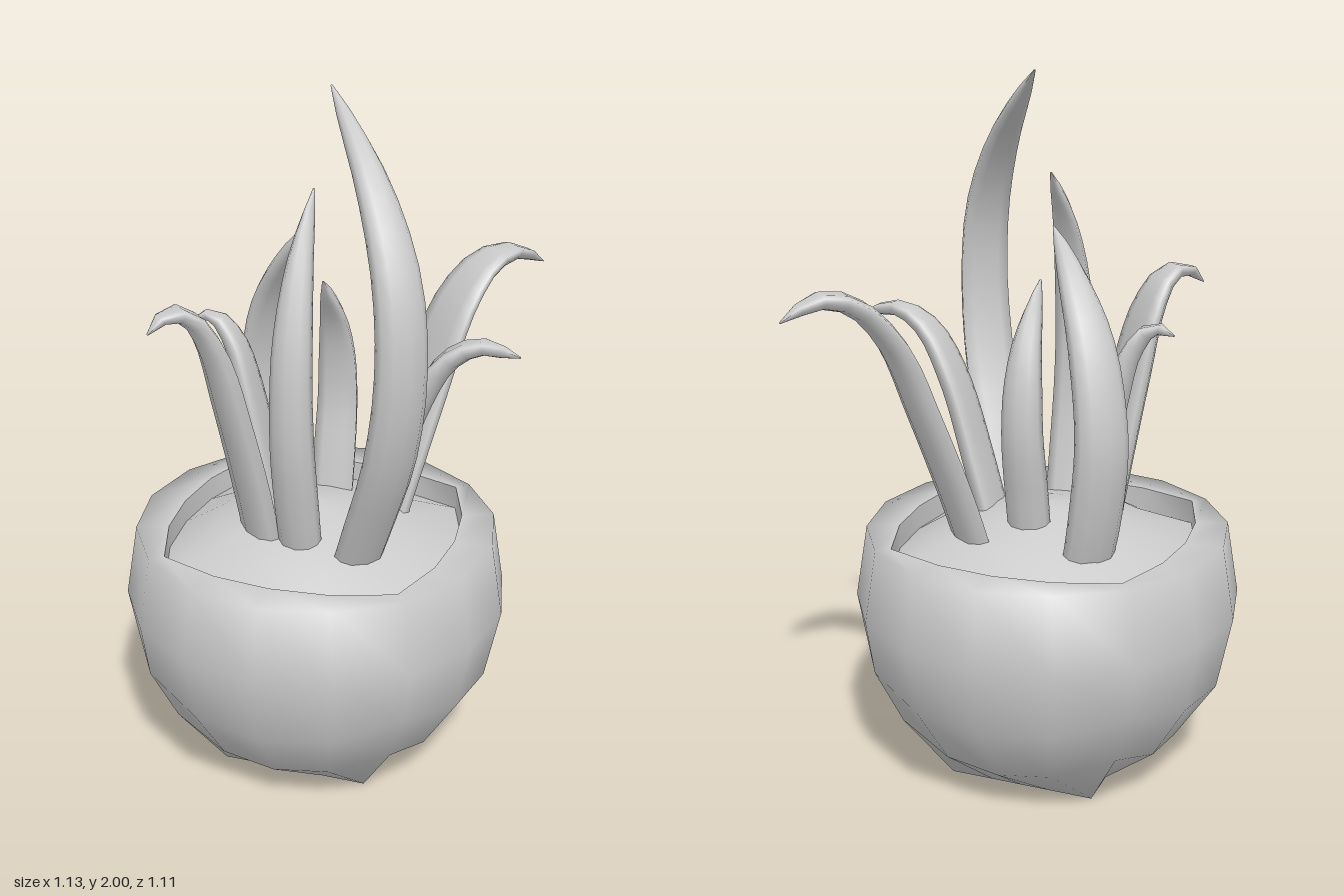
import * as THREE from 'three';

const material = new THREE.MeshStandardMaterial({ color: 0xcccccc, side: THREE.DoubleSide });

// Skin a list of closed rings (equal point counts) with smooth quads.
function loft(name, rings) {
  const n = rings[0].length, index = [];
  for (let i = 0; i < rings.length - 1; i++) {
    for (let j = 0; j < n; j++) {
      const a = i * n + j, b = i * n + (j + 1) % n;
      index.push(a, b, a + n, b, b + n, a + n);
    }
  }
  const geometry = new THREE.BufferGeometry().setFromPoints(rings.flat());
  geometry.setIndex(index);
  geometry.computeVertexNormals();
  const mesh = new THREE.Mesh(geometry, material);
  mesh.name = name;
  return mesh;
}

// Ring of 16 points; rule(s) gives [radius, y], where s runs 1 to sqrt(2)
// from the middle of each side of a square to its corners.
function ring(rule) {
  return Array.from({ length: 16 }, (_, i) => {
    const a = i * Math.PI / 8;
    const s = 1 / Math.max(Math.abs(Math.cos(a)), Math.abs(Math.sin(a)));
    const [r, y] = rule(s);
    return new THREE.Vector3(r * Math.cos(a), y, -r * Math.sin(a));
  });
}

const round = (r, y) => ring(() => [r, y]);
// Row of a rounded cube of radius 0.555 at height ratio k
const sphereRow = k => ring(s => {
  const f = 0.555 / Math.hypot(s, k);
  return [s * f, 0.52 + k * f];
});
// Soft square outline used inside the rim
const softSquare = (r, y) => ring(s => [r * Math.SQRT2 * s / Math.hypot(s, 1), y]);

// Blade cross-section: x across the leaf, y away from the plant's centre
const section = [[0, 1], [0.6, 0.75], [0.92, 0.2], [1, -0.4], [0.55, -0.6],
  [0, -0.55], [-0.55, -0.6], [-1, -0.4], [-0.92, 0.2], [-0.6, 0.75]];

// A tapered leaf along a path of [radius, y] in the vertical plane at an angle.
function leaf(name, degrees, width, path) {
  const a = THREE.MathUtils.degToRad(degrees);
  const out = new THREE.Vector3(Math.cos(a), 0, Math.sin(a));
  const curve = new THREE.CatmullRomCurve3(
    path.map(([r, y]) => out.clone().multiplyScalar(r).setY(y)));
  const side = new THREE.Vector3(0, 1, 0).cross(out);
  const rings = [], rows = 18;
  for (let i = 0; i <= rows; i++) {
    const t = i / rows;
    const p = curve.getPointAt(t), tangent = curve.getTangentAt(t);
    const normal = side.clone().cross(tangent);
    // Full width up to the bend, then a pointed tip
    const taper = t < 0.55 ? 0.92 + 0.08 * Math.sin(t / 0.55 * Math.PI)
      : 0.92 * Math.pow(Math.max(0, 1 - Math.pow((t - 0.55) / 0.45, 1.7)), 0.85);
    const w = Math.max(0.003, width / 2 * taper);
    const d = Math.max(0.002, 0.042 * Math.sqrt(taper));
    rings.push(section.map(([u, v]) => p.clone()
      .addScaledVector(side, u * w).addScaledVector(normal, v * d)));
  }
  rings.push(rings[rows].map(() => curve.getPoint(1)));
  return loft(name, rings);
}

export function createModel() {
  const model = new THREE.Group();
  model.name = 'pottedSucculent';

  // Bowl: flat square foot, rounded sides, flat rim
  const pot = new THREE.Group();
  pot.name = 'pot';
  const k = Math.tan(Math.PI / 8);
  pot.add(loft('bowl', [
    round(0, 0), ring(s => [0.215 * s, 0]), sphereRow(-1), sphereRow(-k),
    sphereRow(0), round(0.52, 0.73), softSquare(0.41, 0.73),
  ]));
  pot.add(loft('innerWall', [softSquare(0.41, 0.73), softSquare(0.41, 0.62)]));

  // Soil: low mound
  pot.add(loft('soil', [
    softSquare(0.41, 0.66), round(0.29, 0.735), round(0.17, 0.775), round(0.07, 0.8), round(0, 0.805),
  ]));
  pot.position.x = -0.01;
  model.add(pot);

  // Leaves curling inward
  const leaves = new THREE.Group();
  leaves.name = 'leaves';
  leaves.add(
    leaf('tallLeaf', 45, 0.155, [[0.19, 0.62], [0.3, 0.85], [0.41, 1.1], [0.455, 1.35],
      [0.425, 1.58], [0.3, 1.79], [0.065, 2]]),
    leaf('frontLeaf', 90, 0.125, [[0.15, 0.62], [0.21, 0.85], [0.255, 1.1], [0.245, 1.35],
      [0.17, 1.57], [0.05, 1.73]]),
    leaf('backLeaf', 270, 0.125, [[0.1, 0.62], [0.145, 0.85], [0.18, 1.08], [0.145, 1.28], [0.03, 1.45]]),
    leaf('backRightLeaf', 222, 0.16, [[0.24, 0.62], [0.31, 0.85], [0.34, 1.08], [0.28, 1.32],
      [0.17, 1.48], [0.055, 1.6]]),
  );

  // Leaves curling outward
  leaves.add(
    leaf('backLeftLeaf', -47, 0.215, [[0.2, 0.62], [0.27, 0.85], [0.36, 1.1], [0.45, 1.32],
      [0.55, 1.43], [0.65, 1.45], [0.75, 1.4]]),
    leaf('leftLeaf', 1, 0.14, [[0.13, 0.62], [0.2, 0.88], [0.28, 1.14], [0.36, 1.28],
      [0.45, 1.33], [0.56, 1.31]]),
    leaf('rightLeaf', 178, 0.145, [[0.1, 0.62], [0.15, 0.85], [0.2, 1.1], [0.25, 1.27],
      [0.31, 1.335], [0.37, 1.315]]),
    leaf('frontRightLeaf', 134, 0.2, [[0.17, 0.62], [0.21, 0.85], [0.27, 1.12], [0.33, 1.34],
      [0.39, 1.43], [0.45, 1.44], [0.505, 1.395]]),
  );
  model.add(leaves);
  return model;
}
